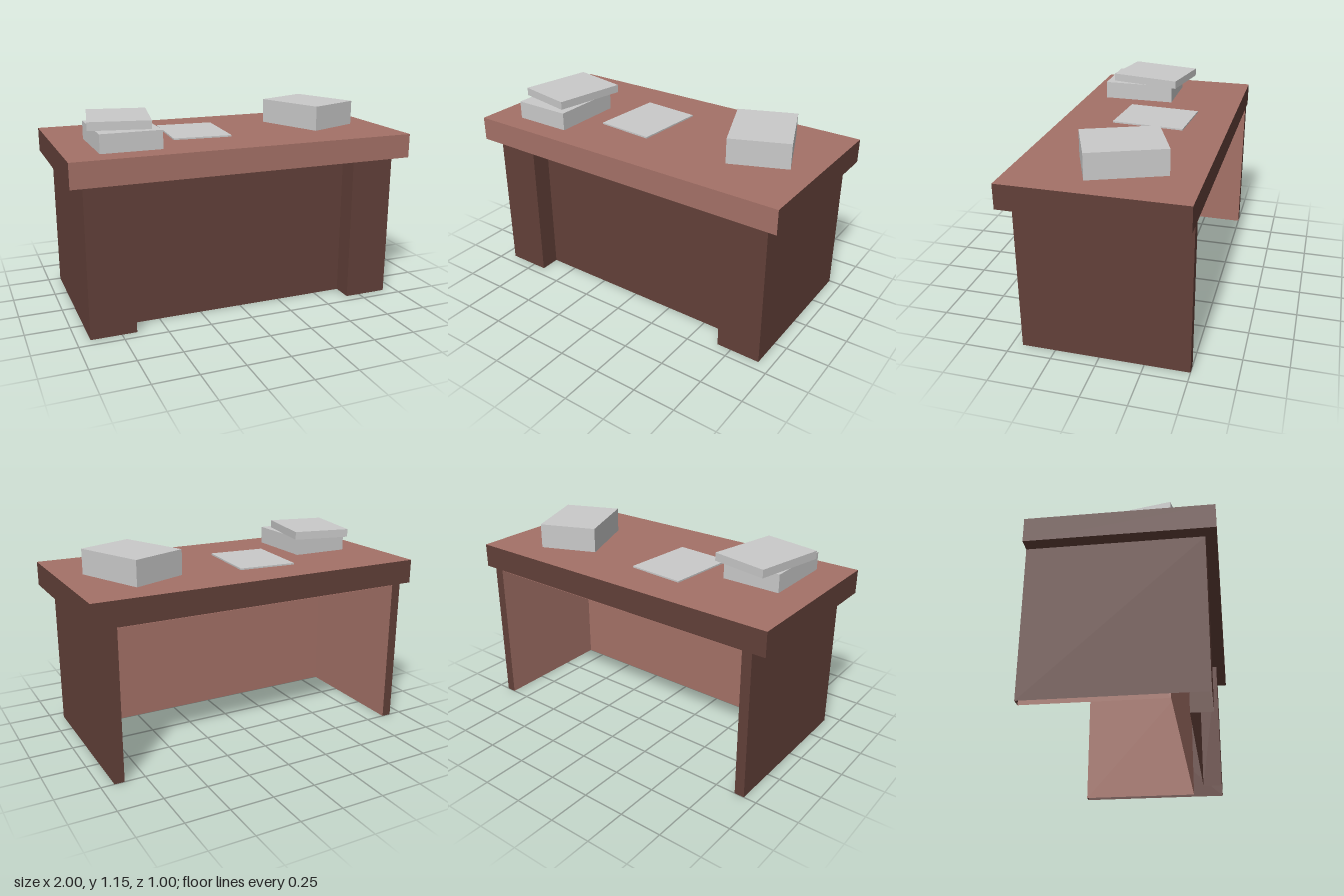
import * as THREE from 'three';

const wood = new THREE.MeshStandardMaterial({ color: 0xa47167, side: THREE.DoubleSide });
wood.name = 'light wood';
const darkWood = new THREE.MeshStandardMaterial({ color: 0x624039, side: THREE.DoubleSide });
darkWood.name = 'dark wood';
const paper = new THREE.MeshStandardMaterial({ color: 0xc9c9c9 });
paper.name = 'paper';

const TOP = 1, UNDER = 0.86;

// Upright skin that follows a plan path of [x, z] points, open at top and bottom
function skin(name, path, material) {
  const pos = [];
  for (let i = 0; i < path.length - 1; i++) {
    const [ax, az] = path[i], [bx, bz] = path[i + 1];
    pos.push(ax, 0, az, bx, 0, bz, bx, UNDER, bz);
    pos.push(ax, 0, az, bx, UNDER, bz, ax, UNDER, az);
  }
  const geo = new THREE.BufferGeometry();
  geo.setAttribute('position', new THREE.Float32BufferAttribute(pos, 3));
  geo.computeVertexNormals();
  const mesh = new THREE.Mesh(geo, material);
  mesh.name = name;
  return mesh;
}

// Mirror the left half of a plan path (listed from the middle outwards)
const mirrored = (half) => [...half.map(([x, z]) => [-x, z]).reverse(), ...half];

function paperStack(name, x, z, y, height, turn) {
  const mesh = new THREE.Mesh(new THREE.BoxGeometry(0.343, height, 0.433), paper);
  mesh.name = name;
  mesh.position.set(x, y + height / 2, z);
  mesh.rotation.y = turn;
  return mesh;
}

export function createModel() {
  const desk = new THREE.Group();
  desk.name = 'desk';

  // Table top: light on top and front, dark on the other faces
  const top = new THREE.Mesh(
    new THREE.BoxGeometry(2, TOP - UNDER, 1),
    [darkWood, darkWood, wood, darkWood, wood, darkWood]
  );
  top.name = 'tableTop';
  top.position.y = (TOP + UNDER) / 2;
  desk.add(top);

  // Outside: side walls, two front pillars and the recessed front panel
  desk.add(skin('outerBody', mirrored([
    [0.665, 0.32], [0.665, 0.44], [0.925, 0.44], [0.925, -0.5], [0.868, -0.5],
  ]), darkWood));

  // Inside of the knee space, open at the back
  desk.add(skin('innerWalls', mirrored([[0.868, 0.245], [0.868, -0.5]]).reverse(), wood));
  const ceiling = new THREE.Mesh(new THREE.PlaneGeometry(1.736, 0.745), wood);
  ceiling.name = 'innerCeiling';
  ceiling.rotation.x = Math.PI / 2;
  ceiling.position.set(0, UNDER - 0.002, -0.1275);
  desk.add(ceiling);

  // Papers lying on the top
  desk.add(
    paperStack('lowerPaperStack', -0.64, 0.149, TOP, 0.104, 0),
    paperStack('upperPaperStack', -0.642, 0.079, TOP + 0.104, 0.047, -0.195),
    paperStack('thinPaperStack', -0.157, -0.043, TOP, 0.009, -0.073),
    paperStack('tallPaperStack', 0.611, -0.056, TOP, 0.145, 0.39)
  );
  return desk;
}
